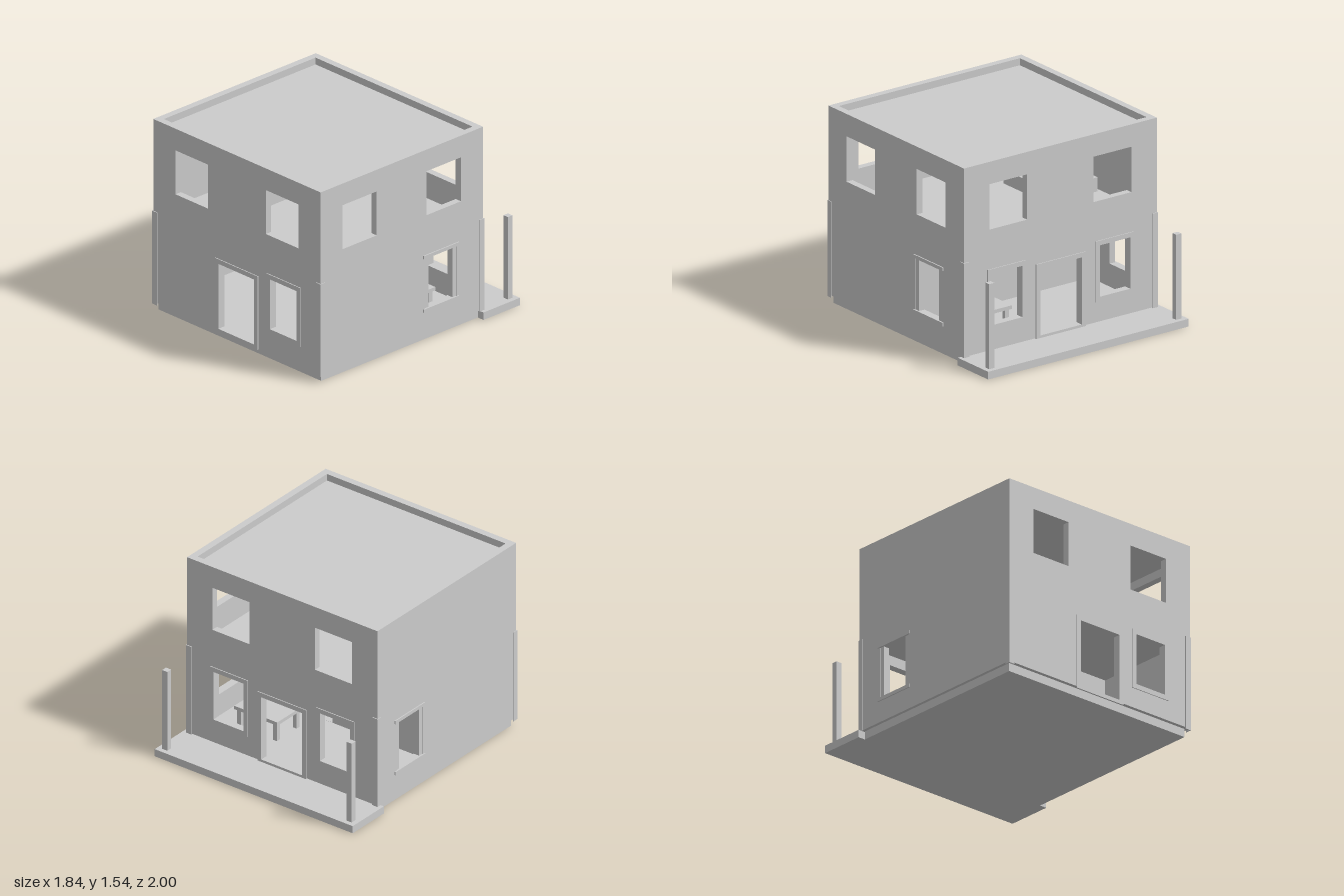
import * as THREE from 'three';

export function createModel() {
  const house = new THREE.Group();
  house.name = 'house';
  const plaster = new THREE.MeshStandardMaterial({ color: 0xcccccc });
  plaster.name = 'plain grey';

  const T = 0.055; // wall thickness
  const X = 0.885, ZB = -0.66, ZF = 0.99, TOP = 1.54, BASE = 0.065;

  const add = (name, geo) => {
    const m = new THREE.Mesh(geo, plaster);
    m.name = name;
    house.add(m);
    return m;
  };
  // Box given by its extents on each axis
  const box = (name, x0, x1, y0, y1, z0, z1) => {
    const g = new THREE.BoxGeometry(x1 - x0, y1 - y0, z1 - z0);
    g.translate((x0 + x1) / 2, (y0 + y1) / 2, (z0 + z1) / 2);
    return add(name, g);
  };
  // Upright slab with rectangular holes; rectangles are [u0, u1, y0, y1]
  const corners = ([a, b, c, d]) => [[a, c], [b, c], [b, d], [a, d]].map(p => new THREE.Vector2(...p));
  const slab = (outline, holes, depth) => {
    const s = new THREE.Shape(corners(outline));
    holes.forEach(h => s.holes.push(new THREE.Path(corners(h).reverse())));
    return new THREE.ExtrudeGeometry(s, { depth, bevelEnabled: false });
  };

  // Openings
  const upper = [[-0.65, -0.305, 1.01, 1.365], [0.305, 0.65, 1.01, 1.365]];
  const door = [-0.19, 0.19, 0.08, 0.605];
  const windowR = [0.355, 0.635, 0.26, 0.662];
  const windowL = [-0.635, -0.355, 0.26, 0.662];
  const sideUpper = [[0.42, 0.77, 1.01, 1.365], [-0.435, -0.085, 1.01, 1.365]];
  const sideRight = [-0.39, -0.07, 0.26, 0.665];
  const sideLeft = [-0.435, -0.12, 0.26, 0.665];

  // Outer walls
  add('frontWall', slab([-X, X, BASE, TOP], [...upper, door, windowR], T).translate(0, 0, ZF - T));
  add('backWall', slab([-X, X, BASE, TOP], [...upper, door, windowL, windowR], T).translate(0, 0, ZB));
  const side = [ZB + T, ZF - T, BASE, TOP];
  add('leftWall', slab(side, [...sideUpper, sideRight], T).rotateY(-Math.PI / 2).translate(X, 0, 0));
  add('rightWall', slab(side, [sideLeft], T).rotateY(-Math.PI / 2).translate(-X + T, 0, 0));

  // Foundation, floors and recessed flat roof
  box('foundation', -0.86, 0.86, 0, BASE, -0.63, 0.96);
  const inX = X - T, inB = ZB + T, inF = ZF - T;
  box('groundFloor', -inX, inX, BASE, 0.08, inB, inF);
  box('upperFloor', -inX, inX, 0.74, 0.8, inB, inF);
  box('roof', -inX, inX, 1.43, 1.485, inB, inF);

  // Back porch
  box('porch', -0.92, 0.92, 0, 0.06, -1, -0.63);
  for (const s of [-1, 1]) {
    const x = s * 0.857;
    box('porchPost', x - 0.024, x + 0.024, 0.06, 0.725, -0.962, -0.916);
  }

  // Thin frames round the front and back openings
  const P = 0.007;
  const frame = (name, o, bottom, z) =>
    add(name, slab([o[0] - 0.037, o[1] + 0.037, bottom, o[3] + 0.037], [o], P).translate(0, 0, z));
  frame('frontDoorFrame', door, 0.05, ZF);
  frame('frontWindowFrame', windowR, 0.222, ZF);
  frame('backDoorFrame', door, 0.06, ZB - P);
  for (const w of [windowL, windowR]) frame('backWindowFrame', w, 0.222, ZB - P);

  // Corner boards up to the first floor
  for (const s of [-1, 1]) {
    const xs = [s * 0.84, s * (X + 0.005)].sort((a, b) => a - b);
    const xo = [s * X, s * (X + 0.005)].sort((a, b) => a - b);
    box('cornerBoard', ...xs, 0.05, 0.8, ZF, ZF + P);
    box('cornerBoard', ...xs, 0.06, 0.8, ZB - P, ZB);
    box('cornerBoard', ...xo, 0.05, 0.8, ZF - 0.04, ZF);
    box('cornerBoard', ...xo, 0.06, 0.8, ZB, ZB + 0.04);
  }

  // Lintels, sills and jambs of the side windows
  for (const [s, o] of [[1, sideRight], [-1, sideLeft]]) {
    const strip = [s * X, s * (X + 0.009)].sort((a, b) => a - b);
    const inside = [s * (X - T), s * (X - 0.005)].sort((a, b) => a - b);
    box('sideLintel', ...strip, o[3], o[3] + 0.027, o[0] - 0.022, o[1] + 0.018);
    box('sideSill', ...strip, o[2] - 0.027, o[2], o[0] - 0.022, o[1] + 0.018);
    box('sideJamb', ...inside, o[2], o[3], o[0], o[0] + 0.038);
    box('sideJamb', ...inside, o[2], o[3], o[1] - 0.038, o[1]);
  }

  // Ground floor partition with a wide doorway
  add('partition', slab([-inX, inX, 0.08, 0.74], [[0.11, 0.445, 0.081, 0.6]], 0.04).translate(0, 0, 0.08));

  // Furniture
  const table = (name, x0, x1, z0, z1, y0, y1) => {
    box(name + 'Top', x0, x1, y1 - 0.028, y1, z0, z1);
    for (const x of [x0 + 0.015, x1 - 0.05])
      for (const z of [z0 + 0.015, z1 - 0.05])
        box(name + 'Leg', x, x + 0.035, y0, y1 - 0.028, z, z + 0.035);
  };
  table('diningTable', 0.25, 0.65, -0.4, -0.1, 0.08, 0.25);
  box('counterTop', 0.545, inX, 0.333, 0.362, 0.13, 0.6);
  box('counterBody', 0.56, inX, 0.08, 0.333, 0.14, 0.59);
  box('bed', -0.8, -0.35, 0.8, 0.91, -0.05, 0.5);

  return house;
}
